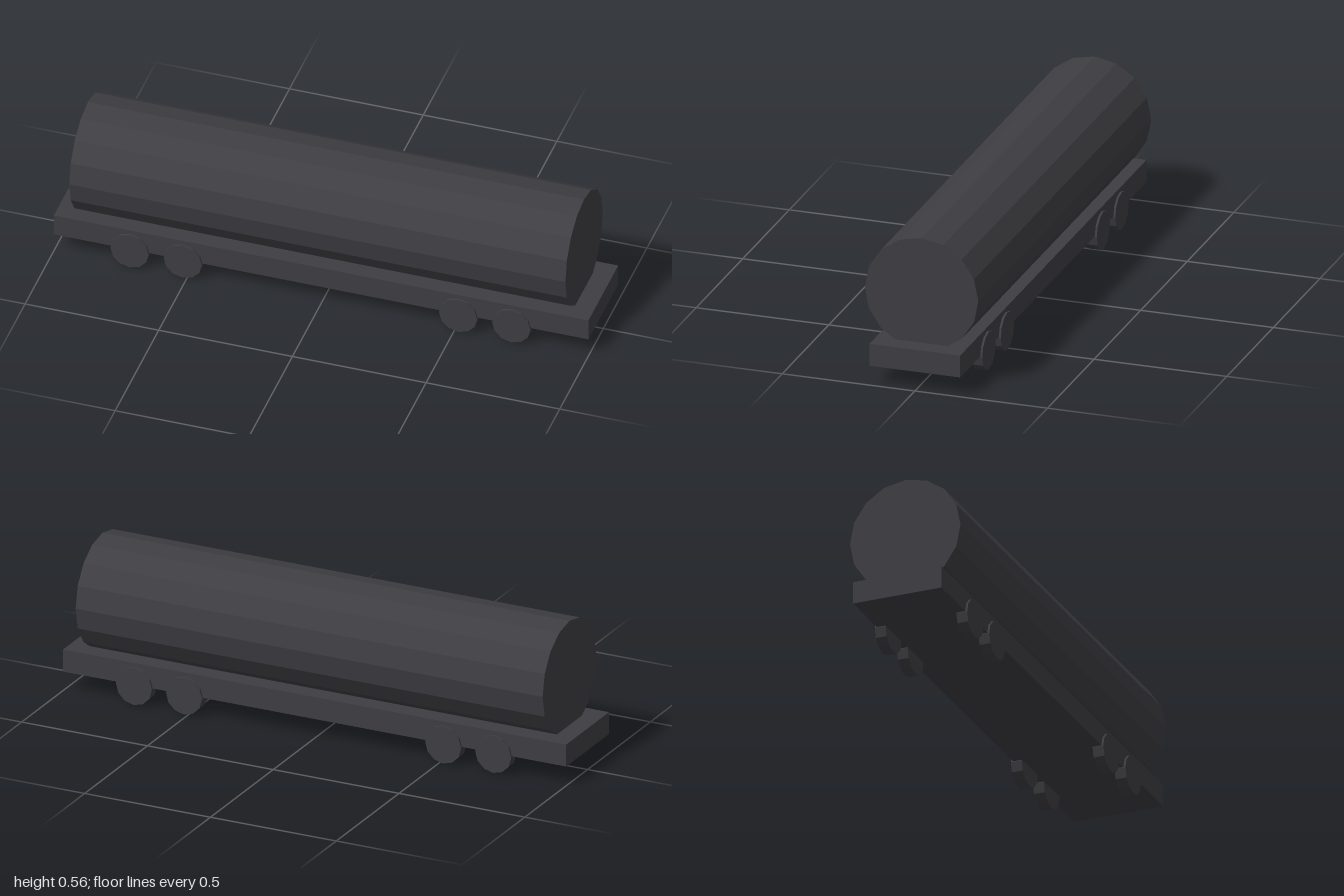
import * as THREE from 'three';

export function createModel() {
  const model = new THREE.Group();
  model.name = 'tankWagon';

  const darkGrey = new THREE.MeshStandardMaterial({ color: 0x3e3d42 });
  darkGrey.name = 'darkGrey';

  function add(name, geometry, x, y, z) {
    // separate face normals give crisp facets
    const flat = geometry.toNonIndexed();
    flat.computeVertexNormals();
    const mesh = new THREE.Mesh(flat, darkGrey);
    mesh.name = name;
    mesh.position.set(x, y, z);
    model.add(mesh);
  }

  // flat bed
  add('chassis', new THREE.BoxGeometry(2, 0.084, 0.342), 0, 0.116, 0);

  // sixteen-sided tank lying along x, sunk slightly into the bed
  add('tank', new THREE.CylinderGeometry(0.214, 0.214, 1.856, 16).rotateZ(Math.PI / 2), 0, 0.344, 0);

  // two pairs of wheels at each end, on both sides
  const wheel = new THREE.CylinderGeometry(0.0715, 0.0715, 0.042, 12).rotateX(Math.PI / 2);
  for (const x of [-0.714, -0.515, 0.515, 0.714]) {
    for (const side of [-1, 1]) {
      add(side > 0 ? 'frontWheel' : 'backWheel', wheel, x, 0.0715, side * 0.158);
    }
  }

  return model;
}
